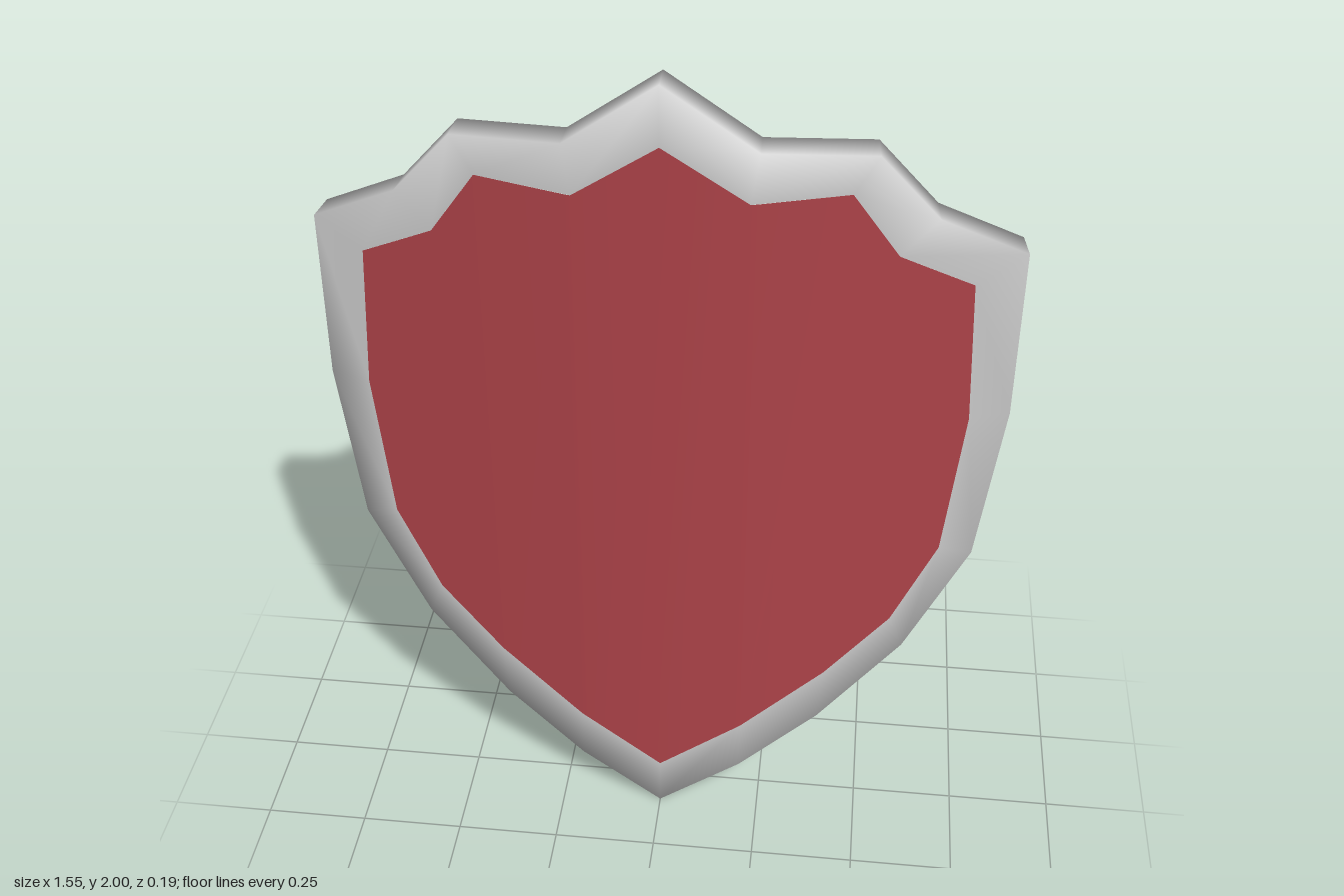
import * as THREE from 'three';

// Half outlines from the top peak down to the bottom tip
const OUTER = [[0, 2], [0.205, 1.855], [0.445, 1.845], [0.58, 1.695], [0.772, 1.605], [0.775, 1.2],
  [0.728, 0.805], [0.585, 0.525], [0.39, 0.3], [0.2, 0.135], [0, 0]];
const INNER = [[0, 1.865], [0.187, 1.74], [0.395, 1.76], [0.5, 1.612], [0.665, 1.535], [0.685, 1.19],
  [0.65, 0.825], [0.55, 0.612], [0.4, 0.445], [0.2, 0.27], [0, 0.13]];

// Depth of the bowed front and back faces against |x|
const FRONT = [[0, 0.095], [0.2, 0.08], [0.4, 0.05], [0.6, 0.013], [0.775, -0.022]];
const BACK = [[0, 0.02], [0.2, 0.003], [0.4, -0.027], [0.6, -0.063], [0.775, -0.096]];

// Piecewise linear lookup in points sorted by x
function lookup(points, x) {
  let i = 1;
  while (i < points.length - 1 && x > points[i][0]) i++;
  const [x0, y0] = points[i - 1], [x1, y1] = points[i];
  return y0 + (y1 - y0) * (x - x0) / (x1 - x0);
}

// Closed clockwise loop from a half outline
const mirrored = half => [...half, ...half.slice(1, -1).reverse().map(([x, y]) => [-x, y])];

function smoothMesh(name, positions, index, color) {
  const geometry = new THREE.BufferGeometry();
  geometry.setAttribute('position', new THREE.Float32BufferAttribute(positions, 3));
  geometry.setIndex(index);
  geometry.computeVertexNormals();
  const mesh = new THREE.Mesh(geometry, new THREE.MeshStandardMaterial({ color }));
  mesh.name = name;
  return mesh;
}

// Rim: front strip, outer wall and back strip swept around the outline
function buildRim() {
  const outer = mirrored(OUTER), inner = mirrored(INNER);
  const positions = [], index = [], n = outer.length;
  for (let i = 0; i < n; i++) {
    const [ox, oy] = outer[i], [ix, iy] = inner[i];
    positions.push(ix, iy, lookup(FRONT, Math.abs(ix)), ox, oy, lookup(FRONT, Math.abs(ox)),
      ox * 0.988, oy, lookup(BACK, Math.abs(ox)), ix, iy, lookup(BACK, Math.abs(ix)));
    for (let k = 0; k < 3; k++) {
      const a = i * 4 + k, d = ((i + 1) % n) * 4 + k;
      index.push(a, d, d + 1, a, d + 1, a + 1);
    }
  }
  return smoothMesh('rim', positions, index, 0xcccccc);
}

// Panel face: vertical strips between the lower and upper inner outline
function buildPanel(name, depth, facesFront) {
  const top = INNER.slice(0, 6), bottom = INNER.slice(5).reverse();
  const half = [...new Set(INNER.map(p => p[0]))].sort((a, b) => a - b);
  const columns = [...half.slice(1).reverse().map(x => -x), ...half];
  const positions = [], index = [];
  columns.forEach((x, i) => {
    const ax = Math.abs(x), z = lookup(depth, ax);
    positions.push(x, lookup(bottom, ax), z, x, lookup(top, ax), z);
    if (i === 0) return;
    const a = i * 2 - 2;
    if (facesFront) index.push(a, a + 2, a + 3, a, a + 3, a + 1);
    else index.push(a, a + 3, a + 2, a, a + 1, a + 3);
  });
  return smoothMesh(name, positions, index, 0xae4349);
}

export function createModel() {
  const shield = new THREE.Group();
  shield.name = 'shield';
  shield.add(buildRim(), buildPanel('frontPanel', FRONT, true), buildPanel('backPanel', BACK, false));
  return shield;
}
